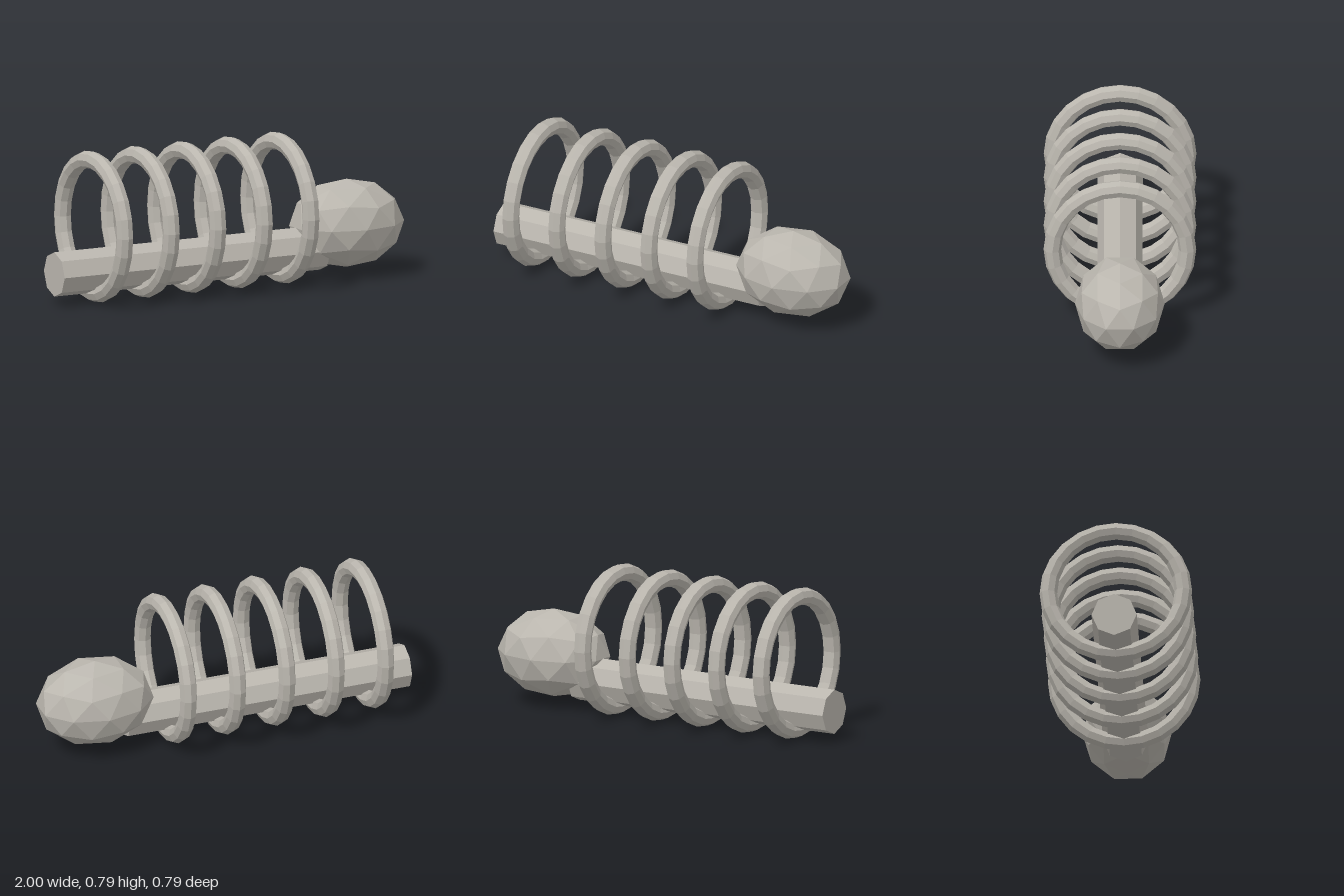
import * as THREE from 'three';

export function createModel() {
  const model = new THREE.Group();
  model.name = 'ringedRod';

  const stone = new THREE.MeshStandardMaterial({ color: 0xbab6ae });
  stone.name = 'warm grey';
  stone.flatShading = true;

  const add = (name, geometry, x, y) => {
    const mesh = new THREE.Mesh(geometry, stone);
    mesh.name = name;
    mesh.position.set(x, y, 0);
    model.add(mesh);
  };

  // Eight-sided rod lying along x
  const rodStart = -1, rodEnd = 0.547;
  const rod = new THREE.CylinderGeometry(0.117, 0.117, rodEnd - rodStart, 8).rotateZ(Math.PI / 2);
  add('rod', rod, (rodStart + rodEnd) / 2, 0.163);

  // Five upright rings, evenly spaced along the rod
  const ring = new THREE.TorusGeometry(0.349, 0.0455, 8, 24).rotateY(Math.PI / 2);
  for (let i = 0; i < 5; i++) add(`ring${i + 1}`, ring, -0.771 + i * 0.271, 0.3945);

  // Faceted egg-shaped head: an icosphere with a corner at the top, stretched along x
  const head = new THREE.IcosahedronGeometry(1, 1)
    .rotateX(-Math.atan((1 + Math.sqrt(5)) / 2))
    .rotateY(Math.PI / 2)
    .scale(0.313, 0.232, 0.232);
  add('head', head, 0.702, 0.279);

  return model;
}
